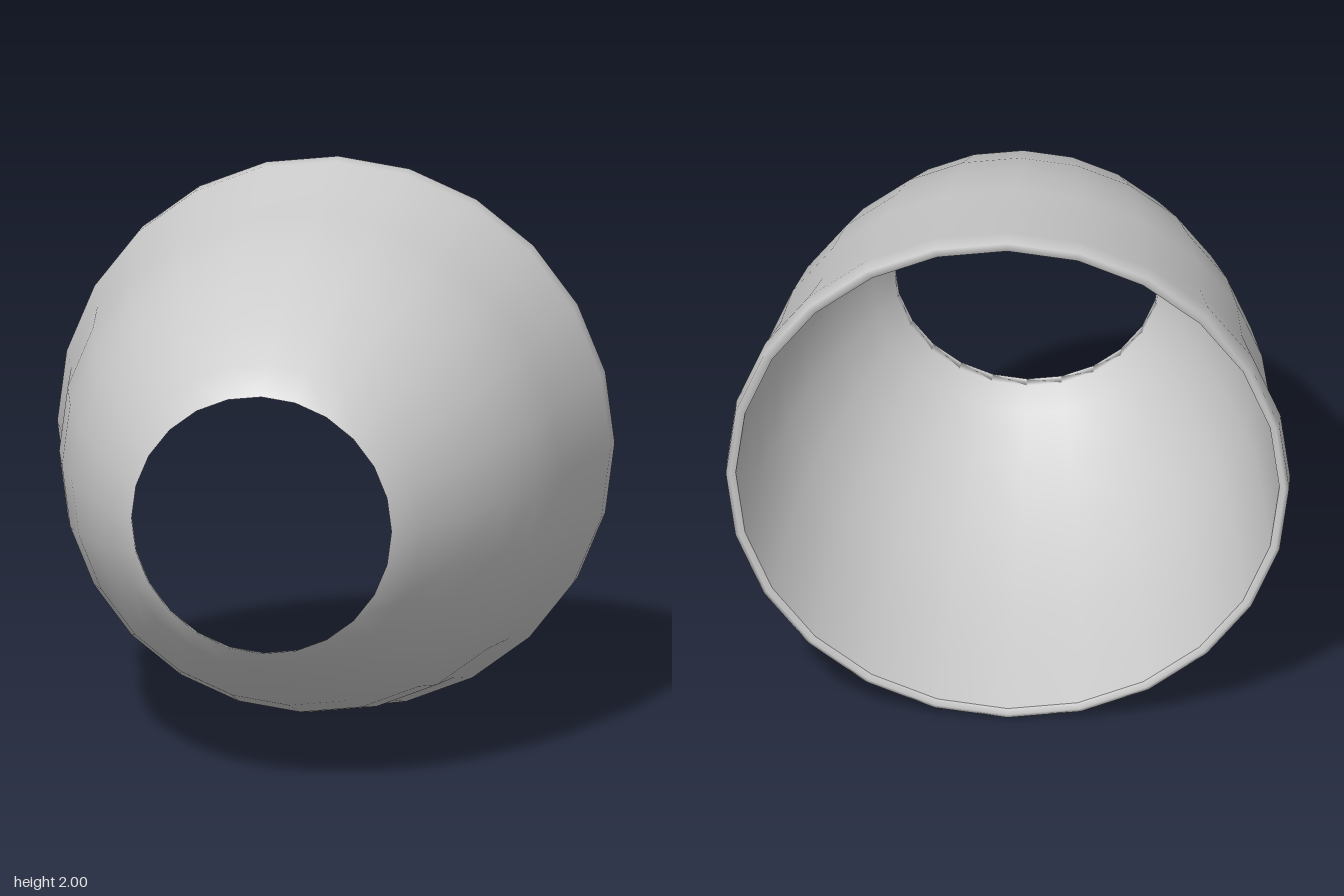
import * as THREE from 'three';

export function createModel() {
  const group = new THREE.Group();
  const material = new THREE.MeshStandardMaterial({ color: 0xcccccc, side: THREE.DoubleSide });

  // Closed wall section as [radius, depth]: back rim, outer wall, front lip, inner wall
  const section = [
    [0.965, -0.69], [0.985, -0.7], [1, -0.695], [1, -0.62], [0.946, -0.44], [0.91, -0.2],
    [0.86, 0], [0.785, 0.2], [0.675, 0.42], [0.56, 0.59], [0.47, 0.7],
    [0.475, 0.665], [0.54, 0.58], [0.655, 0.41], [0.765, 0.19],
    [0.84, -0.01], [0.89, -0.2], [0.932, -0.44], [0.965, -0.69],
  ].map(([r, d]) => new THREE.Vector2(r, d));

  // Open tapered bowl, turned so its small opening faces the front
  const geometry = new THREE.LatheGeometry(section, 24);
  geometry.rotateX(Math.PI / 2);
  const bowl = new THREE.Mesh(geometry, material);
  bowl.name = 'taperedShell';
  bowl.position.y = 1;
  group.add(bowl);

  return group;
}
